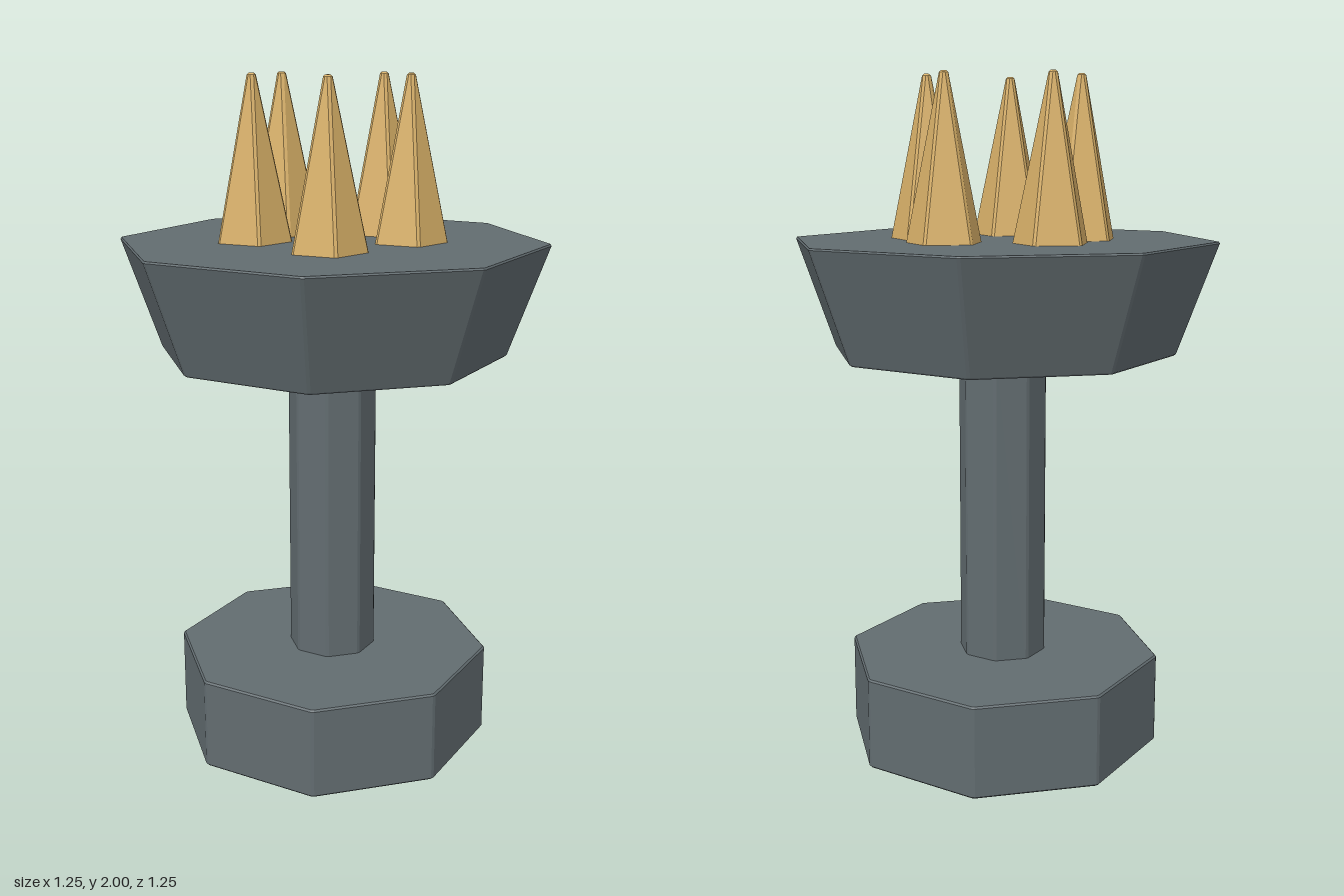
import * as THREE from 'three';
import { ConvexGeometry } from 'three/addons/geometries/ConvexGeometry.js';

const stone = new THREE.MeshStandardMaterial({ color: 0x626c70, flatShading: true });
const gold = new THREE.MeshStandardMaterial({ color: 0xd8b068, flatShading: true });

// Tapered prism with a narrow chamfer on every edge; the first corner points to +x.
function chamferedPrism(sides, rBottom, rTop, y0, y1, c) {
  const points = [];
  const slope = (rTop - rBottom) / (y1 - y0);
  const ring = (radius, y, half) => {
    for (let i = 0; i < sides; i++) {
      const a = (i / sides) * Math.PI * 2;
      for (const s of [-half, half]) {
        points.push(new THREE.Vector3(
          radius * Math.cos(a) - s * Math.sin(a), y,
          radius * Math.sin(a) + s * Math.cos(a)));
      }
    }
  };
  ring(rBottom - c, y0, c * 0.8);
  ring(rBottom + slope * c, y0 + c, c);
  ring(rTop - slope * c, y1 - c, c);
  ring(rTop - c, y1, c * 0.8);
  return new ConvexGeometry(points);
}

export function createModel() {
  const model = new THREE.Group();
  const add = (name, geometry, material, x = 0, z = 0) => {
    const mesh = new THREE.Mesh(geometry, material);
    mesh.name = name;
    mesh.position.set(x, 0, z);
    model.add(mesh);
  };

  // Octagonal pedestal
  add('base', chamferedPrism(8, 0.475, 0.475, 0, 0.275, 0.005), stone);
  add('post', chamferedPrism(8, 0.13, 0.13, 0.26, 1.22, 0.005), stone);
  add('flaredTop', chamferedPrism(8, 0.51, 0.629, 1.2, 1.53, 0.005), stone);

  // Ring of five-sided spikes
  const spike = chamferedPrism(5, 0.112, 0.011, 1.523, 2, 0.005);
  const spots = [[0.222, 0], [0.015, 0.22], [-0.223, 0.037], [-0.167, -0.153], [0.132, -0.18]];
  spots.forEach(([x, z], i) => add(`spike${i + 1}`, spike, gold, x, z));

  return model;
}
